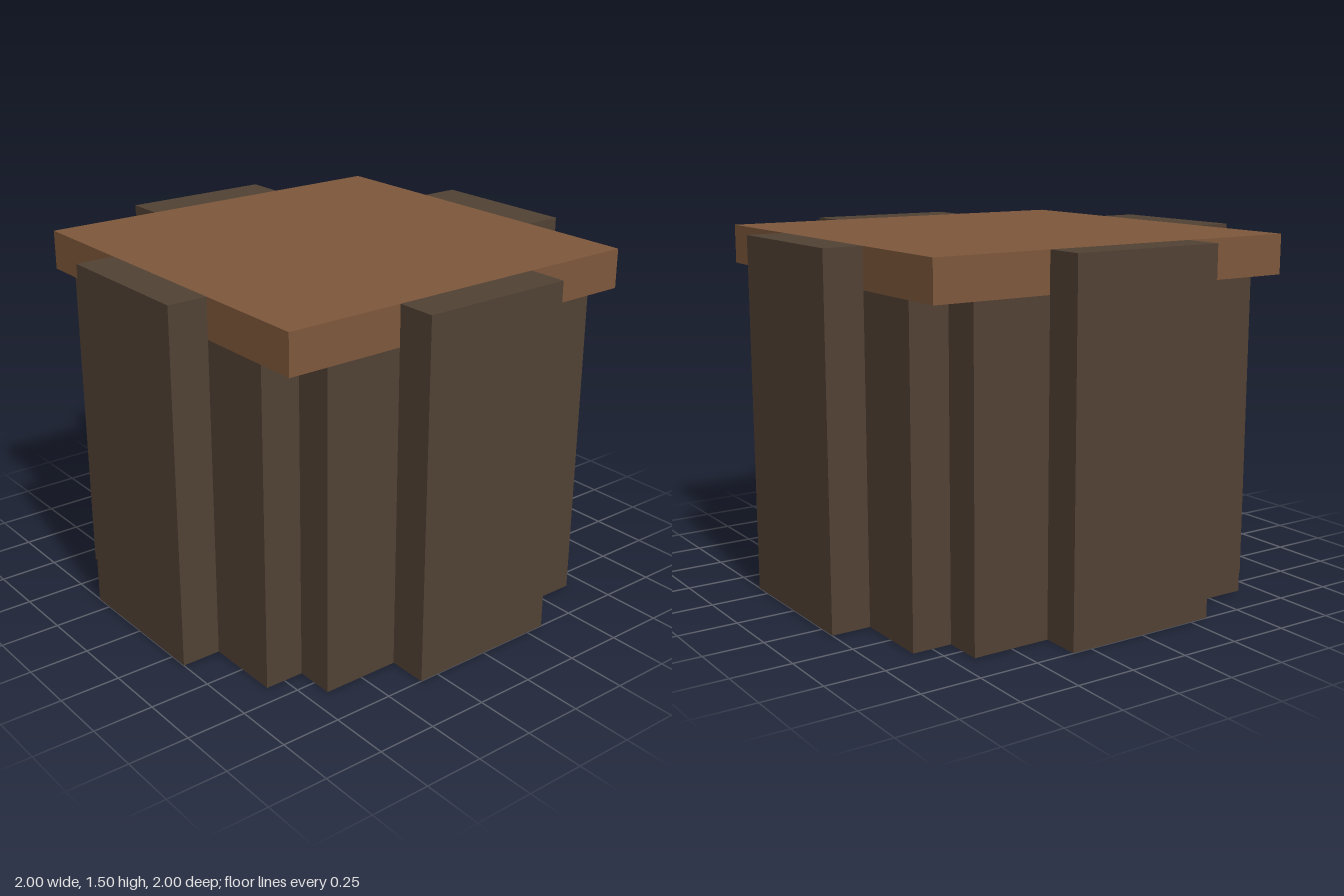
import * as THREE from 'three';

const HALF = 1;           // outer face of the bark ridges
const RIM = 5 / 6;        // half width of trunk and cut top
const STEP = 2 / 3;       // where the trunk corners are notched
const RIDGE = 1 / 3;      // half width of a bark ridge
const TOP = 1.5;
const CUT = 4 / 3;        // underside of the cut top

function material(name, color) {
  const m = new THREE.MeshStandardMaterial({ color });
  m.name = name;
  return m;
}

export function createModel() {
  const group = new THREE.Group();
  group.name = 'treeStump';
  const bark = material('dark bark', 0x514134);
  const wood = material('cut wood', 0x7d573b);

  const add = (name, geometry, mat, x, y, z) => {
    const mesh = new THREE.Mesh(geometry, mat);
    mesh.name = name;
    mesh.position.set(x, y, z);
    group.add(mesh);
    return mesh;
  };

  // Trunk: square footprint with a notch in each corner
  const points = [];
  for (let i = 0; i < 4; i++) {
    for (const [x, y] of [[RIM, STEP], [STEP, STEP], [STEP, RIM]]) {
      points.push(new THREE.Vector2(x, y).rotateAround(new THREE.Vector2(), i * Math.PI / 2));
    }
  }
  const trunk = new THREE.ExtrudeGeometry(new THREE.Shape(points), { depth: CUT, bevelEnabled: false });
  trunk.rotateX(-Math.PI / 2);
  add('trunk', trunk, bark, 0, 0, 0);

  // Cut top: slab overhanging the notched corners
  add('cutTop', new THREE.BoxGeometry(RIM * 2, TOP - CUT, RIM * 2), wood, 0, (TOP + CUT) / 2, 0);

  // Bark ridges: one tall board on each side, flush with the top
  const ridge = new THREE.BoxGeometry(RIDGE * 2, TOP, HALF - RIM);
  const mid = (HALF + RIM) / 2;
  ['front', 'left', 'back', 'right'].forEach((side, i) => {
    const a = i * Math.PI / 2;
    add(side + 'BarkRidge', ridge, bark, Math.sin(a) * mid, TOP / 2, Math.cos(a) * mid).rotation.y = a;
  });

  return group;
}
